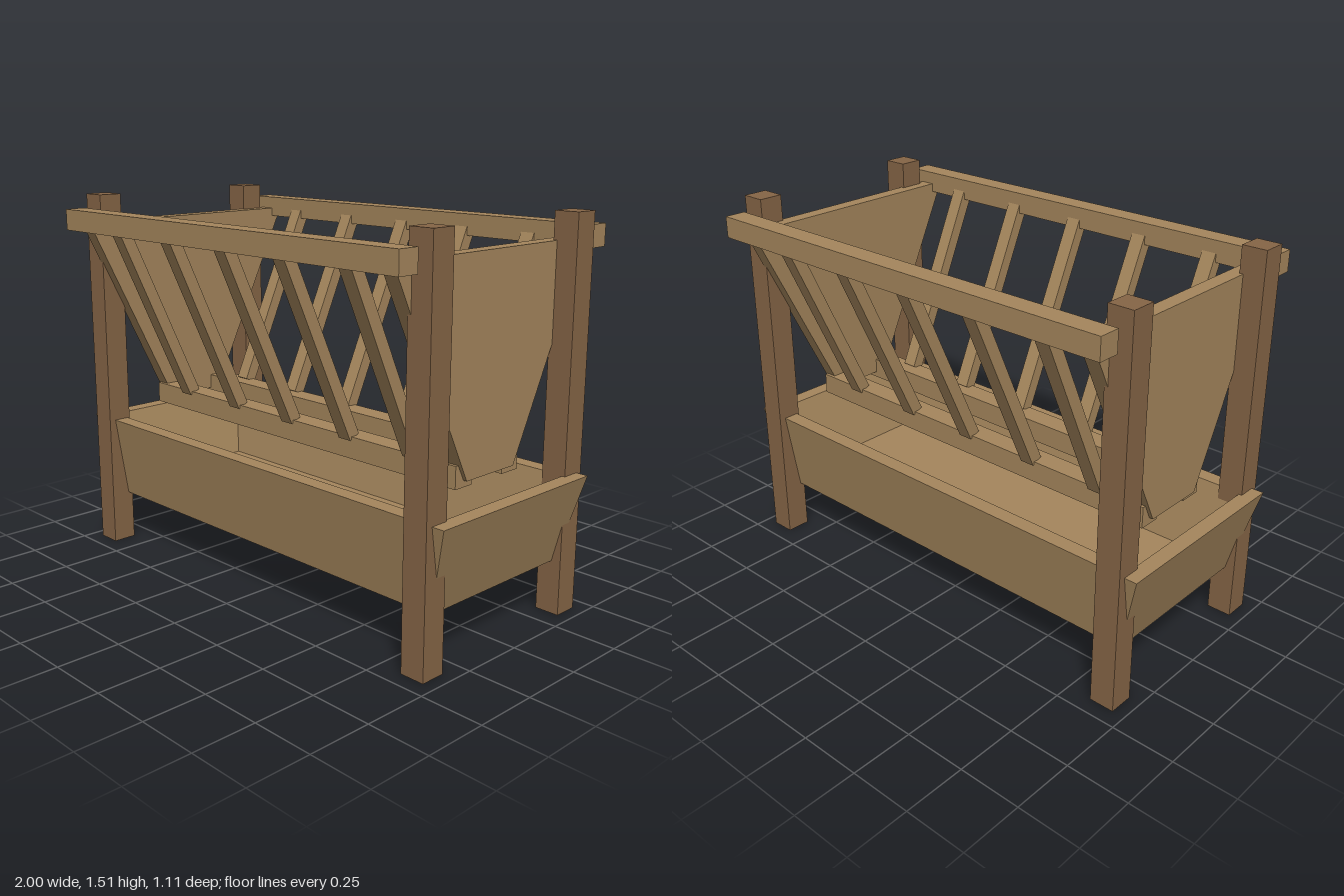
import * as THREE from 'three';

export function createModel() {
  const plankWood = new THREE.MeshStandardMaterial({ color: 0xa6875d, flatShading: true });
  plankWood.name = 'plankWood';
  const postWood = new THREE.MeshStandardMaterial({ color: 0x876647, flatShading: true });
  postWood.name = 'postWood';
  const group = new THREE.Group();
  group.name = 'hayFeeder';

  const add = (name, geometry, material) => {
    const mesh = new THREE.Mesh(geometry, material);
    mesh.name = name;
    group.add(mesh);
    return mesh;
  };
  const box = (name, size, pos, material) => {
    const mesh = add(name, new THREE.BoxGeometry(...size), material);
    mesh.position.set(...pos);
    return mesh;
  };

  // Corner posts
  for (const x of [-0.9, 0.9])
    for (const z of [-0.385, 0.385])
      box('post', [0.1, 1.515, 0.1], [x, 0.7575, z], postWood);

  // Trough: rectangular rings [halfX, y, halfZ] from underside, over the rim, to the floor
  const rings = [[0.91, 0.21, 0.355], [1, 0.55, 0.408], [0.937, 0.55, 0.345], [0.86, 0.26, 0.288]];
  const positions = [];
  const corners = ([x, y, z]) => [[x, y, z], [x, y, -z], [-x, y, -z], [-x, y, z]];
  const quad = (a, b, c, d) => positions.push(...a, ...b, ...c, ...a, ...c, ...d);
  for (let r = 0; r < rings.length - 1; r++) {
    const lower = corners(rings[r]), upper = corners(rings[r + 1]);
    for (let i = 0; i < 4; i++) {
      const j = (i + 1) % 4;
      quad(lower[i], lower[j], upper[j], upper[i]);
    }
  }
  quad(...corners(rings[0]).reverse());
  quad(...corners(rings[3]));
  const troughGeometry = new THREE.BufferGeometry();
  troughGeometry.setAttribute('position', new THREE.Float32BufferAttribute(positions, 3));
  troughGeometry.computeVertexNormals();
  add('trough', troughGeometry, plankWood);

  // Tapered end panels of the rack
  const outline = new THREE.Shape([
    new THREE.Vector2(-0.13, 0.62), new THREE.Vector2(0.13, 0.62),
    new THREE.Vector2(0.52, 1.41), new THREE.Vector2(-0.52, 1.41),
  ]);
  const panelGeometry = new THREE.ExtrudeGeometry(outline, { depth: 0.06, bevelEnabled: false });
  panelGeometry.translate(0, 0, -0.03).rotateY(Math.PI / 2);
  for (const x of [-0.835, 0.835]) add('endPanel', panelGeometry, plankWood).position.x = x;

  // Rails and leaning slats on both sides
  const bottom = [0.676, 0.156], top = [1.4, 0.49]; // slat ends as [y, z]
  const rise = top[0] - bottom[0], run = top[1] - bottom[1];
  for (const side of [-1, 1]) {
    box('topRail', [1.84, 0.085, 0.087], [0, 1.4175, side * 0.512], plankWood);
    box('lowerRail', [1.7, 0.085, 0.088], [0, 0.6375, side * 0.129], plankWood);
    for (let i = -2; i <= 2; i++) {
      const slat = box('slat', [0.06, Math.hypot(rise, run), 0.05],
        [i * 0.32, (top[0] + bottom[0]) / 2, side * (top[1] + bottom[1]) / 2], plankWood);
      slat.rotation.x = side * Math.atan2(run, rise);
    }
  }
  return group;
}
